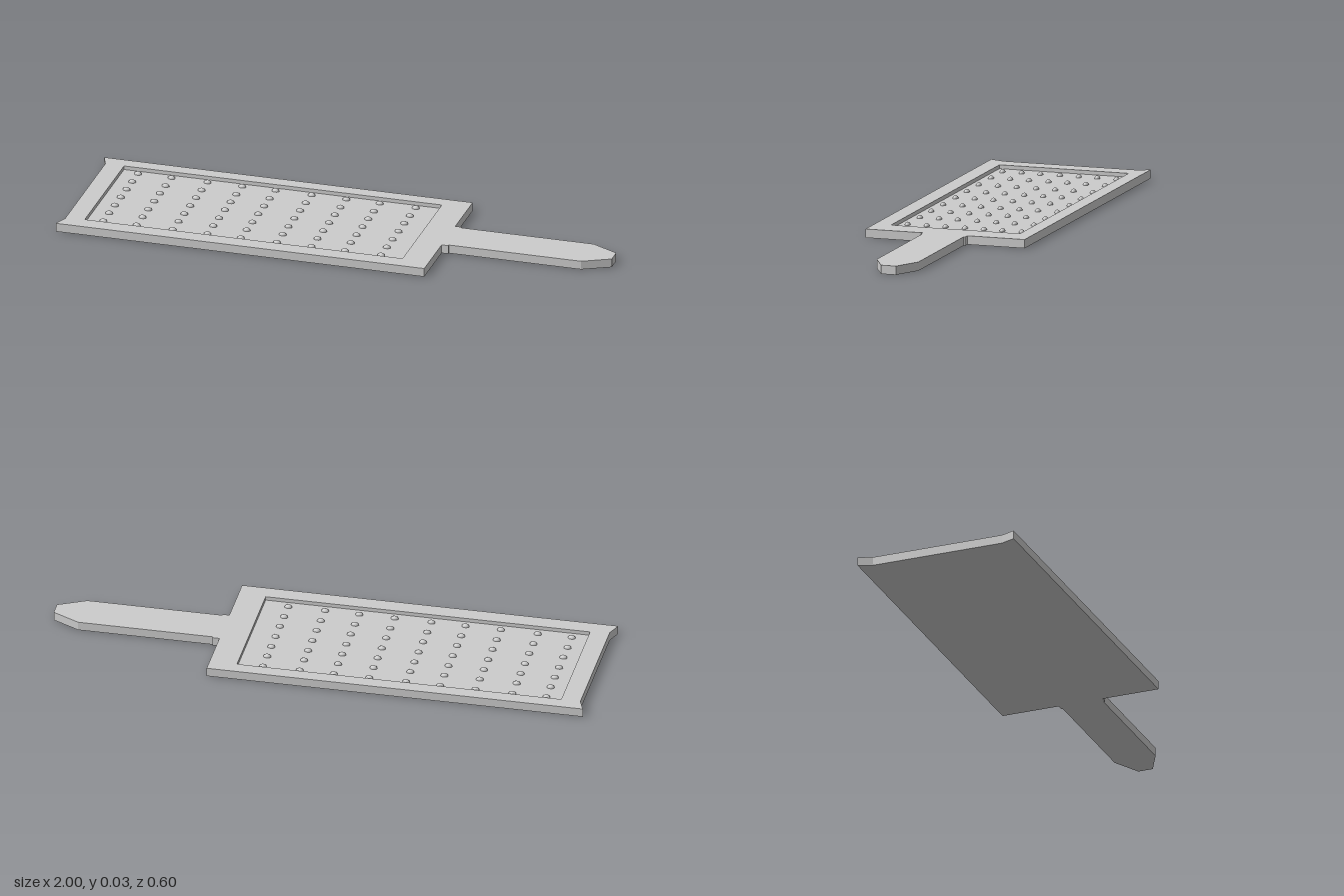
import * as THREE from 'three';

const THICKNESS = 0.032;
const FLOOR = 0.018;
const RECESS = { x0: -0.91, x1: 0.28, z0: -0.25, z1: 0.24 };

export function createModel() {
  const group = new THREE.Group();
  const material = new THREE.MeshStandardMaterial({ color: 0xcccccc, flatShading: true });
  const smooth = new THREE.MeshStandardMaterial({ color: 0xcccccc });

  const add = (name, geometry, mat = material) => {
    const mesh = new THREE.Mesh(geometry, mat);
    mesh.name = name;
    group.add(mesh);
    return mesh;
  };

  // Body and handle in one outline (x, -z), mirrored about the long axis
  const half = [
    [-0.98, 0.25], [-1, 0.302], [0.38, 0.302], [0.38, 0.085],
    [0.405, 0.085], [0.405, 0.079], [0.9, 0.079], [1, 0.028],
  ];
  const outline = [...half, ...half.map(([x, y]) => [x, -y]).reverse()];
  const shape = new THREE.Shape(outline.map(([x, y]) => new THREE.Vector2(x, y)));

  // Rectangular recess
  const { x0, x1, z0, z1 } = RECESS;
  shape.holes.push(new THREE.Path([
    new THREE.Vector2(x0, -z0), new THREE.Vector2(x0, -z1),
    new THREE.Vector2(x1, -z1), new THREE.Vector2(x1, -z0),
  ]));
  const frame = new THREE.ExtrudeGeometry(shape, { depth: THICKNESS, bevelEnabled: false });
  frame.rotateX(-Math.PI / 2);
  add('frameAndHandle', frame);

  // Recess floor and underside close the frame
  const panel = (name, y, tilt) => {
    const plane = new THREE.PlaneGeometry(x1 - x0, z1 - z0).rotateX(tilt);
    add(name, plane).position.set((x0 + x1) / 2, y, (z0 + z1) / 2);
  };
  panel('recessFloor', FLOOR, -Math.PI / 2);
  panel('underside', 0, Math.PI / 2);

  // Grid of small grating teeth
  const columns = [-0.85, -0.725, -0.59, -0.46, -0.335, -0.2, -0.07, 0.055, 0.19];
  const rows = [-0.225, -0.152, -0.082, -0.01, 0.064, 0.135, 0.208];
  const tooth = new THREE.SphereGeometry(1, 12, 5, 0, Math.PI * 2, 0, Math.PI / 2);
  tooth.scale(0.014, 0.011, 0.01);
  const teeth = new THREE.Group();
  teeth.name = 'teeth';
  for (const x of columns) {
    for (const z of rows) {
      const mesh = new THREE.Mesh(tooth, smooth);
      mesh.name = 'tooth';
      mesh.position.set(x, FLOOR, z);
      teeth.add(mesh);
    }
  }
  group.add(teeth);

  return group;
}
